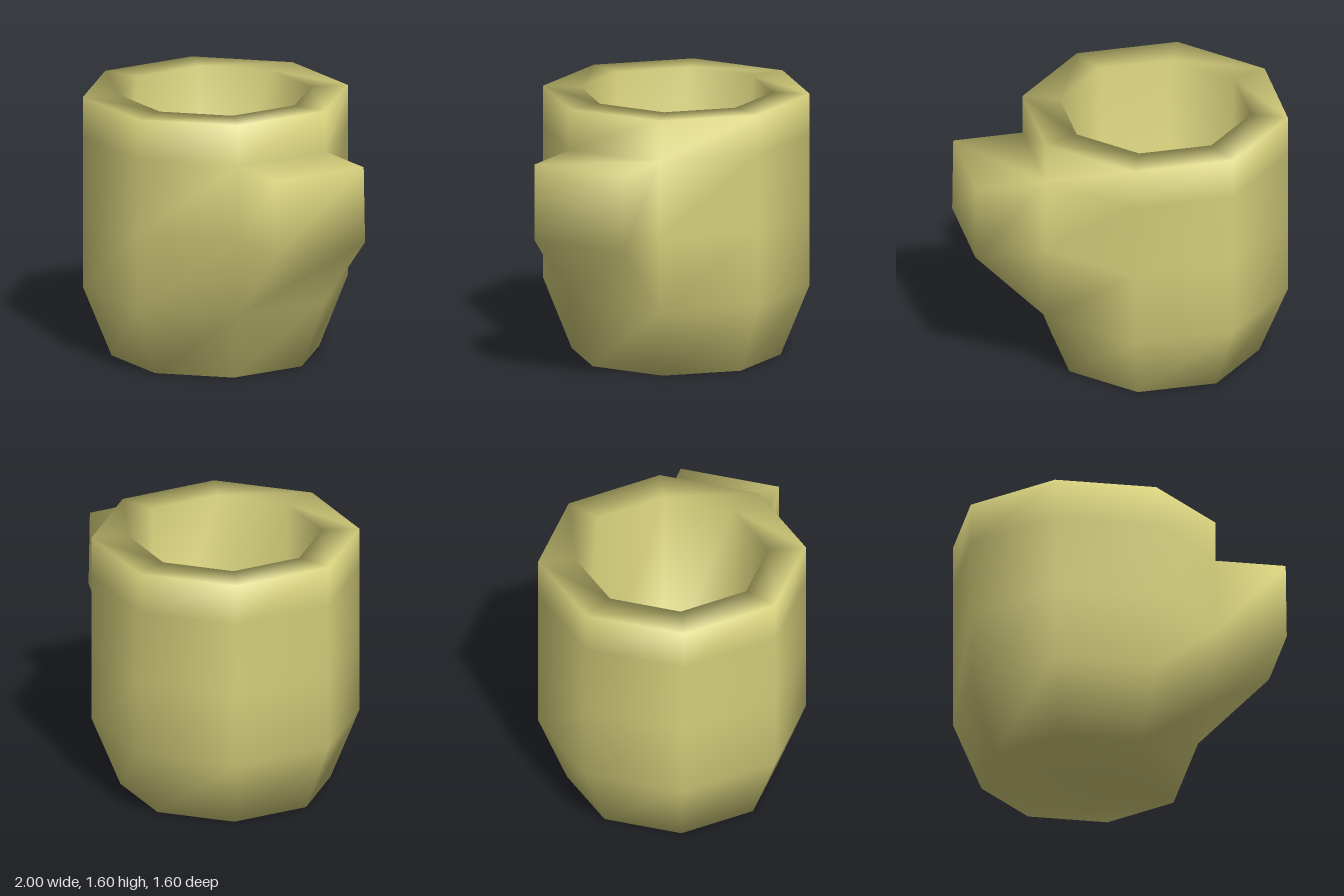
import * as THREE from 'three';

const SIDES = 8;
const CENTRE_X = -0.2;

// Rings from the foot, up the outer wall, over the rim and down to the inner floor: [radius, y]
const PROFILE = [
  [0.627, 0], [0.8, 0.43], [0.8, 0.89], [0.8, 1.35], [0.8, 1.6],
  [0.575, 1.6], [0.575, 0.3],
];

function mugGeometry() {
  const positions = [];
  const index = [];
  const vertex = (x, y, z) => positions.push(x, y, z) / 3 - 1;
  const tri = (a, b, c) => index.push(a, b, c);
  const quad = (a, b, c, d) => { tri(a, b, c); tri(a, c, d); };

  const rings = PROFILE.map(([r, y]) => Array.from({ length: SIDES }, (_, k) => {
    const a = (k / SIDES) * Math.PI * 2;
    return vertex(CENTRE_X + r * Math.cos(a), y, r * Math.sin(a));
  }));

  // Walls and rim, leaving out the two panels the handle grows from
  for (let i = 0; i < rings.length - 1; i++) {
    const low = rings[i], high = rings[i + 1];
    for (let k = 0; k < SIDES; k++) {
      if (k === 0 && (i === 1 || i === 2)) continue;
      const n = (k + 1) % SIDES;
      quad(low[n], low[k], high[k], high[n]);
    }
  }

  // Underside and inner floor
  const foot = rings[0], floor = rings[rings.length - 1];
  for (let k = 1; k < SIDES - 1; k++) {
    tri(foot[0], foot[k], foot[k + 1]);
    tri(floor[0], floor[k + 1], floor[k]);
  }

  // Solid handle block with a sloping underside, joined to the wall
  const [backFoot, backMid, backTop] = [1, 2, 3].map((i) => rings[i][0]);
  const [frontFoot, frontMid, frontTop] = [1, 2, 3].map((i) => rings[i][1]);
  const backLow = vertex(1.0, 0.89, 0.16), backHigh = vertex(0.99, 1.35, 0.16);
  const frontLow = vertex(0.765, 0.89, 0.727), frontHigh = vertex(0.757, 1.35, 0.727);
  quad(frontFoot, backFoot, backLow, frontLow);
  quad(frontLow, backLow, backHigh, frontHigh);
  quad(frontHigh, backHigh, backTop, frontTop);
  tri(backLow, backFoot, backMid);
  quad(backLow, backMid, backTop, backHigh);
  tri(frontFoot, frontLow, frontMid);
  quad(frontMid, frontLow, frontHigh, frontTop);

  const geometry = new THREE.BufferGeometry();
  geometry.setAttribute('position', new THREE.Float32BufferAttribute(positions, 3));
  geometry.setIndex(index);
  geometry.computeVertexNormals();
  return geometry;
}

export function createModel() {
  const group = new THREE.Group();
  group.name = 'mug';
  const clay = new THREE.MeshStandardMaterial({ color: 0xd6d07c });
  clay.name = 'yellow clay';
  const mug = new THREE.Mesh(mugGeometry(), clay);
  mug.name = 'mugBodyWithHandle';
  group.add(mug);
  return group;
}
